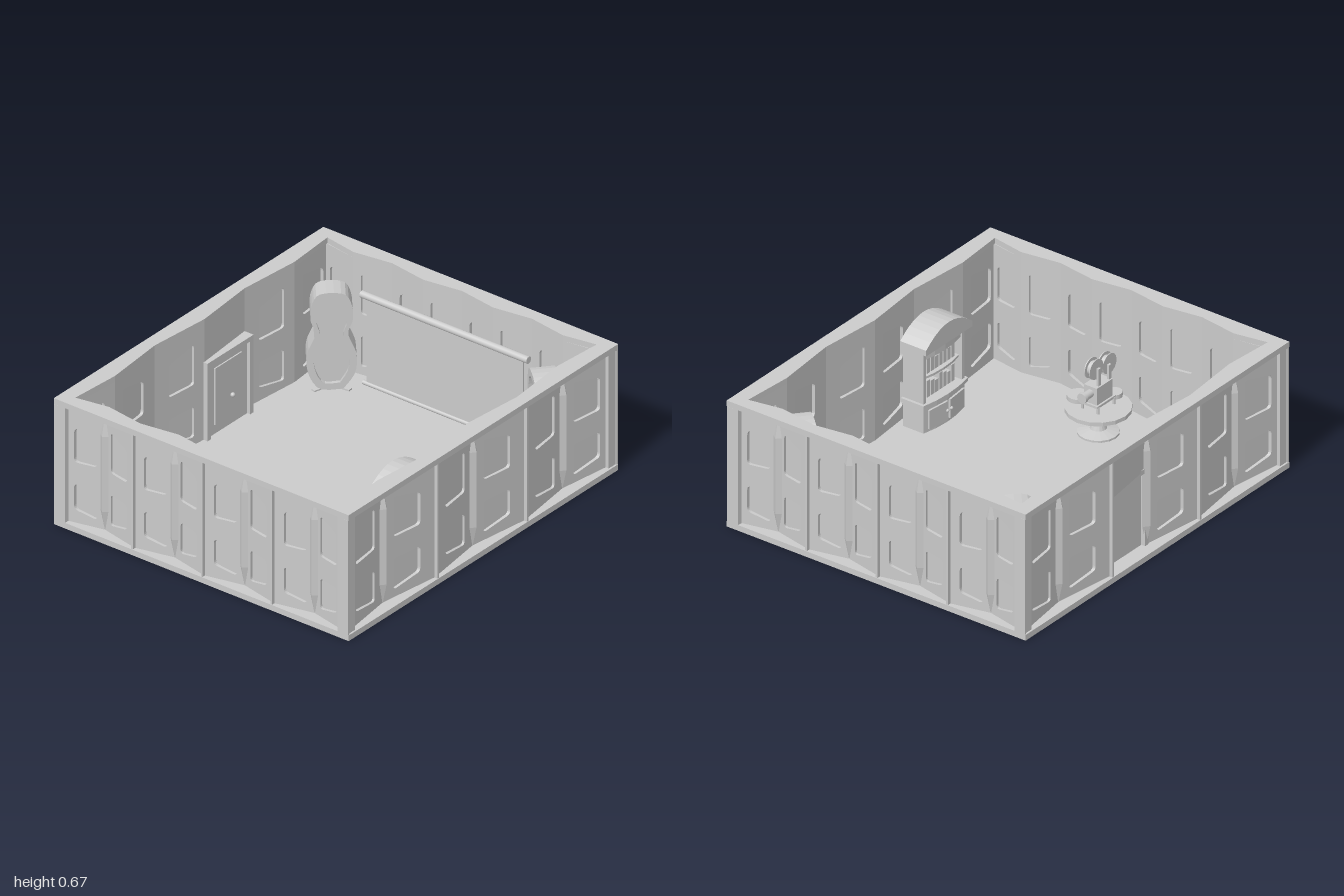
import * as THREE from 'three';

const mat = new THREE.MeshStandardMaterial({ color: 0xcccccc, side: THREE.DoubleSide });
const V2 = (x, y) => new THREE.Vector2(x, y);
const lerp = THREE.MathUtils.lerp;

function add(parent, name, geo, x = 0, y = 0, z = 0) {
  const m = new THREE.Mesh(geo, mat);
  m.name = name;
  m.position.set(x, y, z);
  parent.add(m);
  return m;
}
const box = (p, n, w, h, d, x, y, z) => add(p, n, new THREE.BoxGeometry(w, h, d), x, y, z);
const cyl = (p, n, r, h, x, y, z, seg = 16) => add(p, n, new THREE.CylinderGeometry(r, r, h, seg), x, y, z);
const extrude = (shape, depth) => new THREE.ExtrudeGeometry(shape, { depth, bevelEnabled: false, curveSegments: 4 });
function group(parent, name, x = 0, y = 0, z = 0, ry = 0) {
  const g = new THREE.Group();
  g.name = name;
  g.position.set(x, y, z);
  g.rotation.y = ry;
  parent.add(g);
  return g;
}

// polygon with rounded corners
function rounded(pts, r, target = new THREE.Shape()) {
  pts.forEach((p, i) => {
    const a = pts[(i + pts.length - 1) % pts.length], b = pts[(i + 1) % pts.length];
    const s = p.clone().add(a.clone().sub(p).setLength(r));
    const e = p.clone().add(b.clone().sub(p).setLength(r));
    i ? target.lineTo(s.x, s.y) : target.moveTo(s.x, s.y);
    target.quadraticCurveTo(p.x, p.y, e.x, e.y);
  });
  target.closePath();
  return target;
}

// Wall: outer plane at local z = 0; each section folds inward at its middle
const IN_EDGE = 0.065, IN_MID = 0.095, OUT_EDGE = 0.02, OUT_MID = 0.065;
const Y0 = 0.03, Y1 = 0.64, DOOR_H = 0.43;

function fold(geo, c, h, f0, f1) {
  const p = geo.attributes.position;
  for (let i = 0; i < p.count; i++) {
    const t = 1 - Math.abs(p.getX(i) - c) / h;
    const inner = lerp(IN_EDGE, IN_MID, t), outer = lerp(OUT_EDGE, OUT_MID, t);
    p.setZ(i, -lerp(inner, outer, lerp(f0, f1, p.getZ(i))));
  }
  geo.computeVertexNormals();
  return geo;
}

function makeWall(parent, name, sections, h, u1, u2, door = false) {
  const w = group(parent, name);
  for (let k = 0; k < sections; k++) {
    const c = (2 * k - sections + 1) * h;
    for (const s of [-1, 1]) {
      const isDoor = door && k === 1 && s < 0;
      const X = u => c + s * u;
      const bottom = isDoor ? DOOR_H : Y0;
      const shape = new THREE.Shape([V2(X(0), bottom), V2(X(h), bottom), V2(X(h), Y1), V2(X(0), Y1)]);
      if (!isDoor) {
        const windows = [
          [V2(X(u1), 0.35), V2(X(u2), 0.35), V2(X(u2), 0.525), V2(X(u1), 0.565)],
          [V2(X(u1), 0.07), V2(X(u2), 0.1), V2(X(u2), 0.235), V2(X(u1), 0.235)],
        ];
        for (const pts of windows) {
          shape.holes.push(rounded(pts, 0.02, new THREE.Path()));
          add(w, 'windowPane', fold(extrude(rounded(pts, 0.02), 1), c, h, 0.4, 0.6));
        }
      }
      add(w, 'wallPanel', fold(extrude(shape, 1), c, h, 0, 1));
    }
    // pointed spine lying in the fold
    const spine = new THREE.CylinderGeometry(0.03, 0.03, 0.6, 4, 6);
    const p = spine.attributes.position;
    for (let i = 0; i < p.count; i++) {
      const k2 = Math.min(1, (0.3 - Math.abs(p.getY(i))) / 0.1 + 0.1);
      p.setX(i, p.getX(i) * k2);
      p.setZ(i, p.getZ(i) * k2 * 0.8);
    }
    add(w, 'spine', spine.toNonIndexed(), c, 0.335, -OUT_MID).geometry.computeVertexNormals();
  }
  for (let k = 0; k <= sections; k++)
    box(w, 'dividerFin', 0.01, Y1 - Y0, 0.03, (2 * k - sections) * h * 0.996, (Y0 + Y1) / 2, -0.018);
  return w;
}

// Top rim following the folded inner wall line
function makeRim(parent) {
  const shape = new THREE.Shape([V2(-0.865, -1), V2(0.865, -1), V2(0.865, 1), V2(-0.865, 1)]);
  const pts = [];
  const dep = i => (i % 2 ? IN_MID : IN_EDGE);
  const X = 0.865, Z = 1;
  for (let i = 0; i < 8; i++) pts.push(V2(i ? -0.82 + i * 0.205 : -0.79, -Z + dep(i)));
  for (let i = 0; i < 6; i++) pts.push(V2(i ? X - dep(i) : 0.79, i ? -1 + i / 3 : -0.935));
  const all = [...pts, ...pts.map(p => V2(-p.x, -p.y))];
  shape.holes.push(new THREE.Path(all));
  add(parent, 'topRim', extrude(shape, 0.03).rotateX(-Math.PI / 2), 0, Y1, 0);
}

// Figure-eight loudspeaker on a cross foot, front to local +z
function makeSpeaker(parent, side) {
  const g = group(parent, 'speaker', side * 0.625, 0, -0.755, -side * 0.71);
  const half = [[0.05, 0.05], [0.1, 0.13], [0.105, 0.23], [0.07, 0.33], [0.09, 0.4], [0.085, 0.48], [0.05, 0.535]];
  const outline = k => {
    const r = half.map(([x, y]) => V2(x * k, 0.29 + (y - 0.29) * lerp(1, k, 0.45)));
    const loop = [...r, ...r.map(p => V2(-p.x, p.y)).reverse()];
    return new THREE.SplineCurve([...loop, loop[0]]).getPoints(48);
  };
  const frame = new THREE.Shape(outline(1.08));
  frame.holes.push(new THREE.Path(outline(0.78)));
  add(g, 'speakerFrame', extrude(frame, 0.12), 0, 0, -0.06);
  add(g, 'speakerFace', extrude(new THREE.Shape(outline(0.8)), 0.09), 0, 0, -0.05);
  cyl(g, 'speakerStem', 0.015, 0.06, 0, 0.04, 0);
  for (const a of [0.6, -0.6]) {
    box(g, 'speakerFoot', 0.21, 0.015, 0.025, 0, 0.03, 0).rotation.y = a;
  }
}

function makeCabinet(parent) {
  const g = group(parent, 'cabinet', 0.68, 0, 0.34, -Math.PI / 2);
  // bow-fronted slab
  const slab = (name, w, front, y0, y1) => {
    const s = new THREE.Shape();
    s.moveTo(-w, 0.07);
    s.lineTo(w, 0.07);
    s.lineTo(w, -front + 0.02);
    s.quadraticCurveTo(0, -front - 0.02, -w, -front + 0.02);
    add(g, name, extrude(s, y1 - y0).rotateX(-Math.PI / 2), 0, y0, 0);
  };
  slab('plinth', 0.17, 0.08, 0, 0.03);
  slab('cupboard', 0.155, 0.07, 0.03, 0.165);
  slab('ledge', 0.17, 0.08, 0.165, 0.185);
  slab('shelf', 0.145, 0.05, 0.3, 0.312);
  slab('header', 0.15, 0.06, 0.41, 0.47);
  box(g, 'cabinetBack', 0.3, 0.29, 0.02, 0, 0.325, -0.06);
  for (const s of [-1, 1]) {
    box(g, 'cabinetSide', 0.02, 0.29, 0.12, s * 0.145, 0.325, -0.01);
    box(g, 'cupboardDoor', 0.125, 0.1, 0.01, s * 0.07, 0.098, 0.07).rotation.y = s * 0.1;
    add(g, 'knob', new THREE.SphereGeometry(0.009, 8, 6), s * 0.015, 0.1, 0.082);
  }
  for (const y of [0.185, 0.312])
    for (let i = 0; i < 8; i++) {
      const h = 0.065 + 0.012 * ((i * 5) % 3);
      box(g, 'book', 0.024, h, 0.07, -0.115 + i * 0.031, y + h / 2, -0.01);
    }
  const arch = new THREE.Shape();
  arch.moveTo(-0.175, 0.46);
  arch.lineTo(0.175, 0.46);
  arch.lineTo(0.175, 0.49);
  arch.quadraticCurveTo(0, 0.64, -0.175, 0.49);
  add(g, 'archedTop', new THREE.ExtrudeGeometry(arch, { depth: 0.15, bevelEnabled: false, curveSegments: 10 }), 0, 0, -0.07);
}

function makeProjectorTable(parent) {
  const g = group(parent, 'projectorTable', 0, 0, 0.685);
  const profile = [[0, 0.02], [0.1, 0.02], [0.1, 0.04], [0.04, 0.055], [0.028, 0.09], [0.05, 0.13], [0.12, 0.145], [0.158, 0.15], [0.158, 0.17], [0, 0.17]];
  const table = new THREE.LatheGeometry(profile.map(p => V2(...p)), 16).toNonIndexed();
  table.computeVertexNormals();
  add(g, 'roundTable', table);
  cyl(g, 'filmCan', 0.055, 0.022, 0.115, 0.181, 0);
  cyl(g, 'smallFilmCan', 0.04, 0.022, 0, 0.181, 0.12);
  box(g, 'projectorBody', 0.075, 0.1, 0.12, 0, 0.25, 0);
  box(g, 'projectorPlate', 0.095, 0.012, 0.14, 0, 0.205, 0);
  for (const x of [-0.045, 0.045]) for (const z of [-0.06, 0.06])
    cyl(g, 'projectorLeg', 0.007, 0.035, x, 0.187, z, 8);
  cyl(g, 'lens', 0.02, 0.07, 0, 0.265, -0.09).rotation.x = Math.PI / 2;
  cyl(g, 'lensHood', 0.026, 0.018, 0, 0.265, -0.118).rotation.x = Math.PI / 2;
  for (const [z, y] of [[-0.035, 0.385], [0.065, 0.37]]) {
    for (const x of [-0.014, 0.014])
      cyl(g, 'reel', 0.052, 0.005, x, y, z).rotation.z = Math.PI / 2;
    cyl(g, 'filmRoll', 0.036, 0.024, 0, y, z).rotation.z = Math.PI / 2;
    box(g, 'reelArm', 0.012, 0.1, 0.018, -0.024, y - 0.045, z * 0.8);
  }
}

export function createModel() {
  const model = new THREE.Group();
  model.name = 'screeningRoom';

  // shell
  box(model, 'floor', 1.73, Y0, 2, 0, Y0 / 2, 0);
  makeRim(model);
  const walls = [
    makeWall(model, 'frontWall', 4, 0.205, 0.04, 0.155),
    makeWall(model, 'backWall', 4, 0.205, 0.04, 0.155),
    makeWall(model, 'leftWall', 3, 1 / 3, 0.07, 0.24),
    makeWall(model, 'rightWall', 3, 1 / 3, 0.07, 0.24, true),
  ];
  [[0, 1, 0], [0, -1, Math.PI], [0.865, 0, Math.PI / 2], [-0.865, 0, -Math.PI / 2]].forEach(([x, z, a], i) => {
    walls[i].position.set(x, 0, z);
    walls[i].rotation.y = a;
  });
  for (const x of [-1, 1]) for (const z of [-1, 1])
    box(model, 'cornerPost', 0.04, Y1 - Y0, 0.05, x * 0.835, (Y0 + Y1) / 2, z * 0.967);

  // door in the right wall
  const d = group(model, 'door', -0.775, Y0, -0.163);
  box(d, 'doorLeaf', 0.02, 0.38, 0.29, 0, 0.19, 0);
  box(d, 'doorInset', 0.008, 0.3, 0.2, 0.013, 0.2, 0);
  for (const s of [-1, 1]) box(d, 'doorJamb', 0.06, 0.4, 0.025, -0.002, 0.2, s * 0.158);
  box(d, 'doorLintel', 0.06, 0.025, 0.341, -0.002, 0.4, 0);
  add(d, 'doorKnob', new THREE.SphereGeometry(0.012, 10, 8), 0.025, 0.16, -0.02);

  // projection screen
  const s = group(model, 'screen', 0, 0, -0.81);
  cyl(s, 'screenRoll', 0.018, 0.98, 0, 0.535, 0).rotation.z = Math.PI / 2;
  cyl(s, 'screenBar', 0.011, 0.96, 0, 0.07, 0).rotation.z = Math.PI / 2;
  box(s, 'screenSheet', 0.92, 0.46, 0.006, 0, 0.3, 0);

  for (const side of [-1, 1]) makeSpeaker(model, side);
  makeCabinet(model);
  makeProjectorTable(model);
  return model;
}
